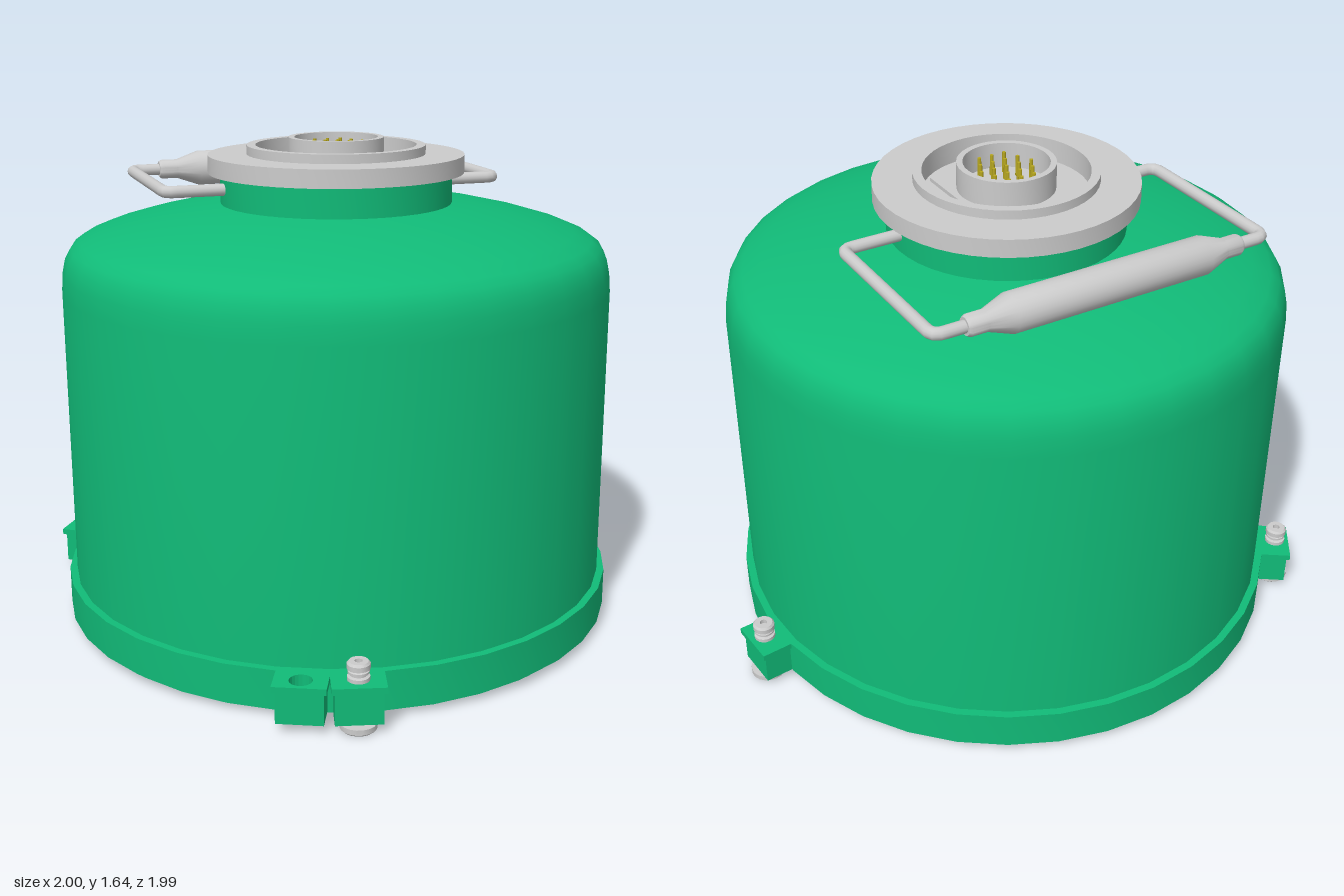
import * as THREE from 'three';
import { toCreasedNormals } from 'three/addons/utils/BufferGeometryUtils.js';

const green = new THREE.MeshStandardMaterial({ color: 0x11bb78 });
const grey = new THREE.MeshStandardMaterial({ color: 0xcccccc });
const gold = new THREE.MeshStandardMaterial({ color: 0xb8a820 });

function add(parent, name, geometry, material) {
  const mesh = new THREE.Mesh(geometry, material);
  mesh.name = name;
  parent.add(mesh);
  return mesh;
}

// Profile of [radius, y] pairs, spun about y, listed from the bottom up
function lathe(profile, segments) {
  const geometry = new THREE.LatheGeometry(profile.map(([r, y]) => new THREE.Vector2(r, y)), segments);
  return toCreasedNormals(geometry, 0.6);
}

// Block standing out from the base ring (local +x is outward), bored at the bolt position
function lugBlock(x0, x1, halfWidth, y0, y1, bore) {
  const shape = new THREE.Shape();
  shape.moveTo(x0, -halfWidth);
  shape.lineTo(x1, -halfWidth);
  shape.lineTo(x1, halfWidth);
  shape.lineTo(x0, halfWidth);
  shape.closePath();
  shape.holes.push(new THREE.Path().absarc(1.0, 0, bore, 0, Math.PI * 2, true));
  const geometry = new THREE.ExtrudeGeometry(shape, { depth: y1 - y0, bevelEnabled: false, curveSegments: 10 });
  return geometry.rotateX(-Math.PI / 2).translate(0, y0, 0);
}

function makeLug(degrees, hasBolt) {
  const lug = new THREE.Group();
  lug.name = hasBolt ? 'boltLug' : 'holeLug';
  const bore = hasBolt ? 0.024 : 0.036;
  add(lug, 'lugBlock', lugBlock(0.88, 1.04, 0.073, 0.03, 0.135, bore), green);
  add(lug, 'lugPlate', lugBlock(0.88, 1.05, 0.083, 0.135, 0.155, bore), green);
  if (hasBolt) {
    // Wide foot, shank and grooved top
    const bolt = add(lug, 'bolt', lathe([
      [0, 0], [0.052, 0], [0.057, 0.005], [0.057, 0.022], [0.025, 0.022], [0.025, 0.157],
      [0.035, 0.16], [0.035, 0.172], [0.025, 0.175], [0.025, 0.18], [0.033, 0.183], [0.033, 0.19],
      [0.027, 0.193], [0.036, 0.197], [0.036, 0.213], [0.03, 0.22], [0.012, 0.22], [0.012, 0.205], [0, 0.205],
    ], 18), grey);
    bolt.position.x = 1.0;
  }
  lug.rotation.y = -THREE.MathUtils.degToRad(degrees);
  return lug;
}

// Bent rod with small rounded corners
function rodPath(points, round) {
  const path = new THREE.CurvePath();
  let start = points[0];
  for (let i = 1; i < points.length - 1; i++) {
    const corner = points[i];
    const before = points[i - 1].clone().sub(corner).setLength(round).add(corner);
    const after = points[i + 1].clone().sub(corner).setLength(round).add(corner);
    path.add(new THREE.LineCurve3(start, before));
    path.add(new THREE.QuadraticBezierCurve3(before, corner, after));
    start = after;
  }
  path.add(new THREE.LineCurve3(start, points[points.length - 1]));
  return path;
}

function makeHandle() {
  const handle = new THREE.Group();
  handle.name = 'handle';
  const points = [[-0.36, 0], [-0.585, 0], [-0.585, -0.58], [0.585, -0.58], [0.585, 0], [0.36, 0]]
    .map(([x, z]) => new THREE.Vector3(x, 1.48, z));
  add(handle, 'handleRod', new THREE.TubeGeometry(rodPath(points, 0.035), 160, 0.02, 14), grey);
  const grip = lathe([
    [0, -0.485], [0.028, -0.485], [0.034, -0.475], [0.034, -0.42], [0.062, -0.34],
    [0.062, 0.34], [0.034, 0.42], [0.034, 0.475], [0.028, 0.485], [0, 0.485],
  ], 24);
  const mesh = add(handle, 'grip', grip, grey);
  mesh.rotation.z = Math.PI / 2;
  mesh.position.set(0, 1.48, -0.58);
  return handle;
}

function makeConnector() {
  const connector = new THREE.Group();
  connector.name = 'connector';
  // Flange with a raised rim around a sunken floor
  add(connector, 'flange', lathe([
    [0, 1.525], [0.43, 1.525], [0.43, 1.585], [0.3, 1.585], [0.3, 1.615],
    [0.27, 1.615], [0.27, 1.54], [0, 1.54],
  ], 48), grey);
  const plate = add(connector, 'squarePlate', new THREE.BoxGeometry(0.36, 0.015, 0.36), grey);
  plate.position.y = 1.545;
  // Open socket around the pins
  add(connector, 'socket', lathe([
    [0.16, 1.545], [0.16, 1.64], [0.14, 1.64], [0.14, 1.556], [0, 1.556],
  ], 36), grey);
  // Pins in a hexagonal pattern of 3, 4, 5, 4 and 3
  const pinGeometry = new THREE.CylinderGeometry(0.006, 0.007, 0.07, 8);
  for (let row = -2; row <= 2; row++) {
    const count = 5 - Math.abs(row);
    for (let i = 0; i < count; i++) {
      const pin = add(connector, 'pin', pinGeometry, gold);
      pin.position.set((i - (count - 1) / 2) * 0.046, 1.59, row * 0.046);
    }
  }
  return connector;
}

export function createModel() {
  const model = new THREE.Group();
  model.name = 'canister';
  const canister = new THREE.Group();
  canister.name = 'canisterParts';
  canister.position.set(-0.05, 0, -0.048);
  model.add(canister);

  // Shell with domed shoulder
  add(canister, 'body', lathe([
    [0.925, 0.14], [0.925, 1.15], [0.92, 1.21], [0.91, 1.255], [0.89, 1.29], [0.86, 1.312],
    [0.8, 1.337], [0.7, 1.367], [0.58, 1.395], [0.47, 1.414], [0.385, 1.425],
  ], 36), green);
  add(canister, 'neck', lathe([[0.39, 1.4], [0.39, 1.525], [0, 1.525]], 48), green);

  // Base ring and bottom
  add(canister, 'baseRing', lathe([
    [0, 0.01], [0.925, 0.01], [0.925, 0.03], [0.95, 0.03], [0.95, 0.155], [0.92, 0.155],
  ], 36), green);

  // Three bolted lugs, one with a plain bored neighbour
  for (const degrees of [-5.2, 105, 214.8]) canister.add(makeLug(degrees, true));
  canister.add(makeLug(114.8, false));

  canister.add(makeHandle(), makeConnector());
  return model;
}
